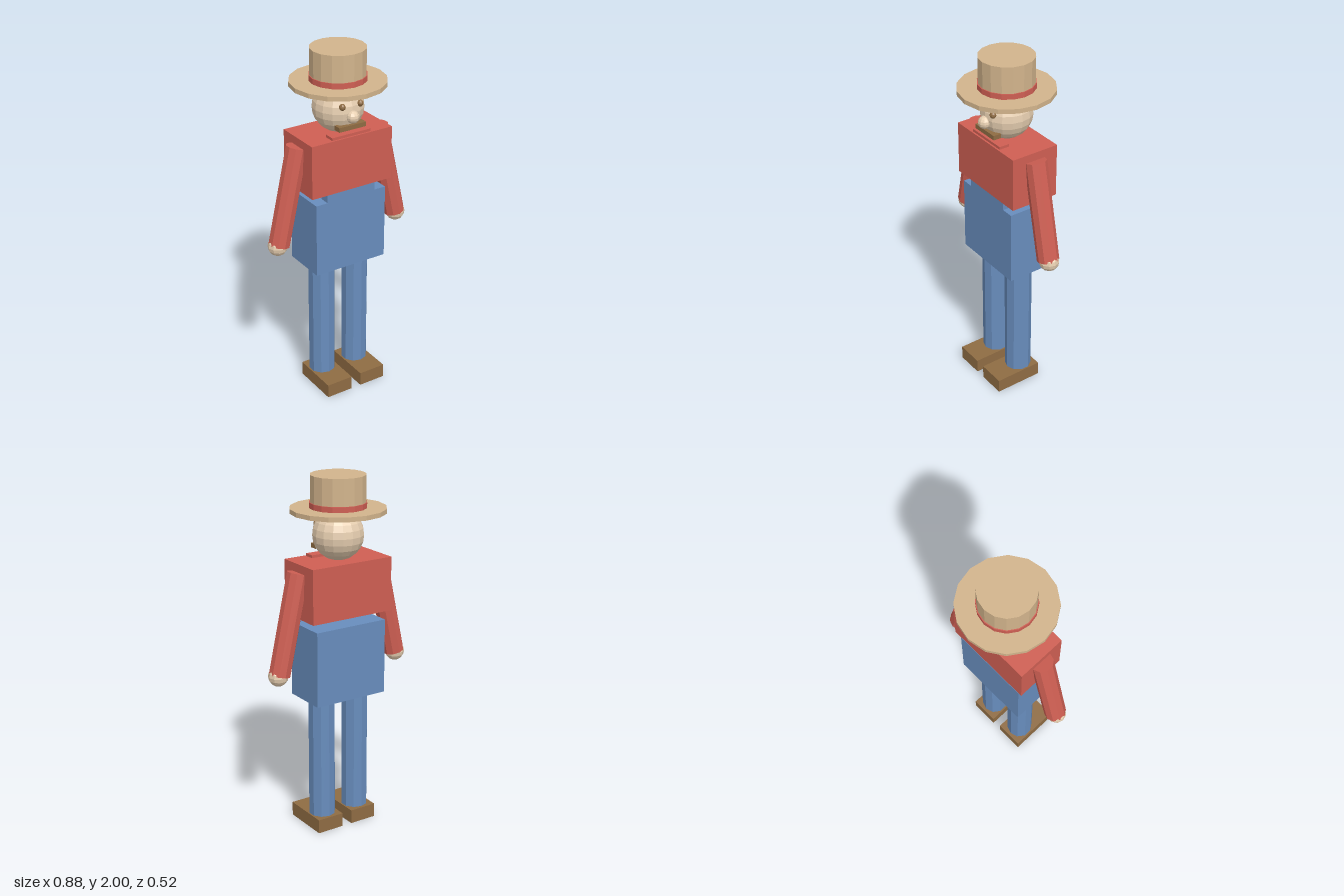
import * as THREE from 'three';

const paint = (name, color) => {
  const m = new THREE.MeshStandardMaterial({ color, flatShading: true });
  m.name = name;
  return m;
};

export function createModel() {
  const red = paint('shirt red', 0xcf5f53);
  const blue = paint('denim blue', 0x688dbd);
  const straw = paint('straw', 0xd2b48c);
  const skin = paint('skin', 0xe6ceb0);
  const brown = paint('brown', 0x8f6c43);

  const group = new THREE.Group();
  const add = (name, geometry, material, x, y, z) => {
    const mesh = new THREE.Mesh(geometry, material);
    mesh.name = name;
    mesh.position.set(x, y, z);
    group.add(mesh);
    return mesh;
  };
  const box = (w, h, d) => new THREE.BoxGeometry(w, h, d);
  const tube = (r, h, sides) => new THREE.CylinderGeometry(r, r, h, sides);
  const ball = (r, w, h) => new THREE.SphereGeometry(r, w, h);

  // Body and clothes
  add('overalls', box(0.44, 0.42, 0.26), blue, 0, 0.99, 0);
  add('bib', box(0.3, 0.26, 0.06), blue, 0, 1.33, 0.1);
  add('shirt', box(0.5, 0.3, 0.28), red, 0, 1.4, 0);
  add('neckerchief', box(0.24, 0.04, 0.06), red, 0, 1.545, 0.1);

  // Head and face
  add('head', ball(0.14, 16, 12), skin, 0, 1.68, 0);
  add('nose', ball(0.035, 10, 8), skin, 0, 1.66, 0.14);
  add('moustache', box(0.165, 0.025, 0.045), brown, 0, 1.603, 0.118);

  // Hat
  add('hatBrim', tube(0.26, 0.025, 16), straw, 0, 1.8125, 0);
  add('hatCrown', tube(0.15, 0.18, 16), straw, 0, 1.91, 0);
  add('hatBand', tube(0.155, 0.03, 16), red, 0, 1.84, 0);

  // Mirrored pairs
  for (const [side, s] of [['left', 1], ['right', -1]]) {
    add(side + 'Eye', ball(0.018, 8, 6), brown, s * 0.055, 1.72, 0.125);
    const arm = add(side + 'Arm', tube(0.06, 0.56, 10), red, s * 0.315, 1.232, 0);
    arm.rotation.z = s * 0.22;
    add(side + 'Hand', ball(0.055, 10, 8), skin, s * 0.385, 0.955, 0);
    add(side + 'Leg', tube(0.075, 0.76, 10), blue, s * 0.11, 0.41, 0);
    add(side + 'Shoe', box(0.16, 0.08, 0.28), brown, s * 0.11, 0.04, 0.05);
  }
  return group;
}
